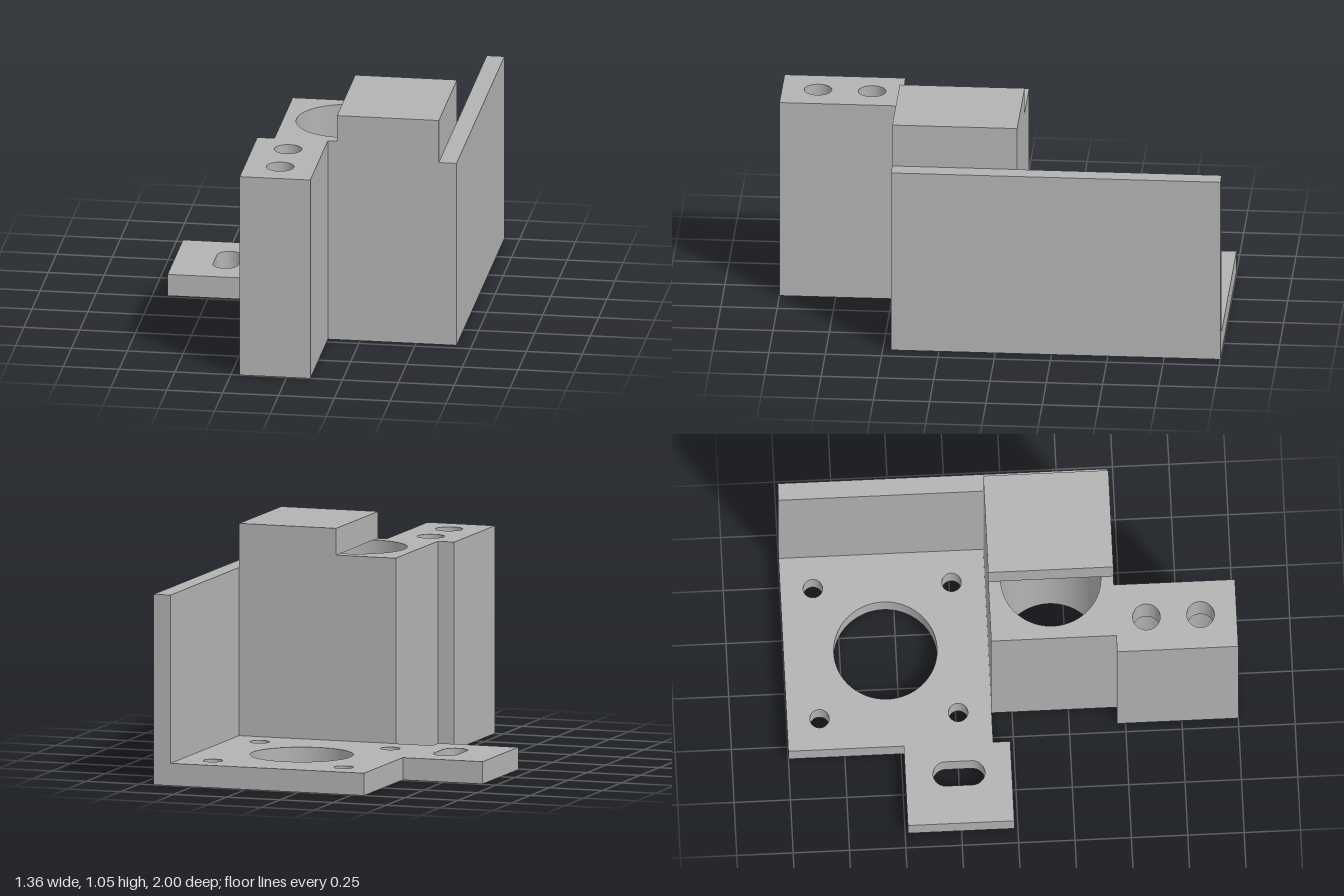
import * as THREE from 'three';
import { toCreasedNormals } from 'three/addons/utils/BufferGeometryUtils.js';

// Closed slot outline on the plan (a circle when half is 0), centred on x, z
function hole(x, z, r, half = 0) {
  const p = new THREE.Path();
  p.absarc(x, -z + half, r, 0, Math.PI, false);
  p.absarc(x, -z - half, r, Math.PI, Math.PI * 2, false);
  p.closePath();
  return p;
}

export function createModel() {
  const group = new THREE.Group();
  const grey = new THREE.MeshStandardMaterial({ color: 0xb3b3b3 });
  grey.name = 'grey';

  // Extrude an [x, z] plan outline upward from y0 to y1
  function slab(name, outline, y0, y1, holes = []) {
    const shape = new THREE.Shape(outline.map(([x, z]) => new THREE.Vector2(x, -z)));
    shape.holes.push(...holes);
    const geo = new THREE.ExtrudeGeometry(shape, { depth: y1 - y0, bevelEnabled: false, curveSegments: 32 });
    geo.rotateX(-Math.PI / 2).translate(0, y0, 0);
    const mesh = new THREE.Mesh(toCreasedNormals(geo, 0.5), grey);
    mesh.name = name;
    group.add(mesh);
  }
  const rect = (x0, x1, z0, z1) => [[x0, z0], [x0, z1], [x1, z1], [x1, z0]];

  // Motor plate with a slotted side tab
  const boltHoles = [-0.16, 0.454].flatMap(x => [-0.855, -0.24].map(z => hole(x, z, 0.043)));
  slab('mountingPlate', [
    [-0.307, -1], [-0.307, -0.488], [-0.682, -0.488], [-0.682, -0.016],
    [-0.307, -0.016], [-0.307, -0.092], [0.603, -0.092], [0.603, -1],
  ], 0, 0.1, [hole(0.147, -0.548, 0.229), hole(-0.447, -0.25, 0.057, 0.058), ...boltHoles]);

  // Side wall running the full depth
  slab('sideWall', rect(0.603, 0.682, -1, 0.463), 0, 0.853);

  // Bored block, with a raised cap over half the bore
  slab('boredBlock', rect(-0.133, 0.603, -0.092, 0.463), 0, 0.93, [hole(0.147, 0.185, 0.222)]);
  slab('cap', rect(0.147, 0.603, -0.092, 0.463), 0.93, 1.05);

  // Front post: narrow screw holes above wide counterbores
  const post = rect(-0.21, 0.106, 0.463, 1);
  const screwHoles = r => [0.6, 0.84].map(z => hole(-0.052, z, r));
  slab('postLower', post, 0, 0.77, screwHoles(0.097));
  slab('postUpper', post, 0.77, 0.93, screwHoles(0.061));

  return group;
}
